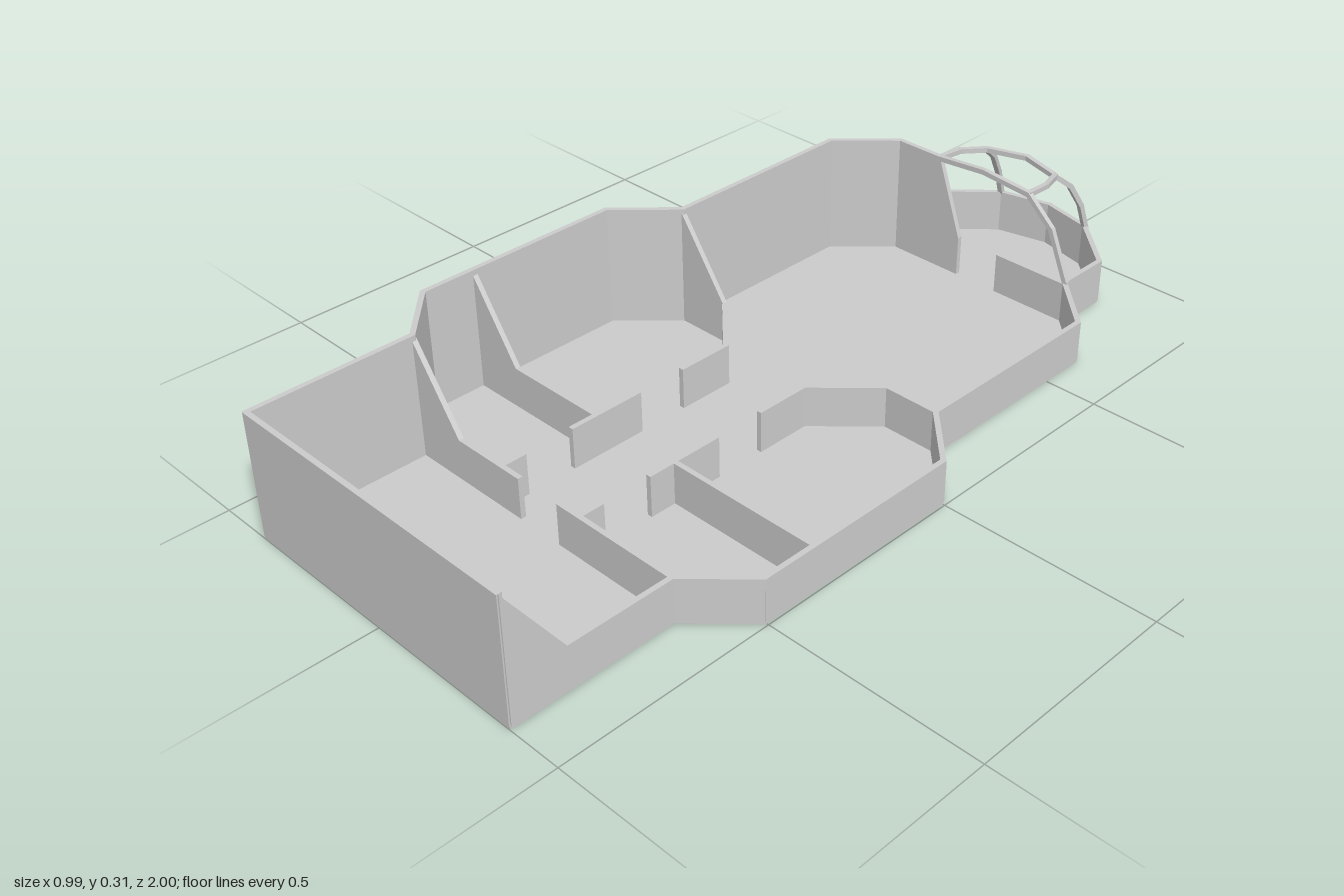
import * as THREE from 'three';

const T = 0.012;      // wall thickness
const BASE = 0.006;   // underside of walls
const LOW = 0.105, HIGH = 0.295;

export function createModel() {
  const model = new THREE.Group();
  const mat = new THREE.MeshStandardMaterial({ color: 0xcccccc, flatShading: true });

  const add = (name, geo) => {
    const mesh = new THREE.Mesh(geo, mat);
    mesh.name = name;
    model.add(mesh);
    return mesh;
  };

  // Upright wall from a to b ([x, z]); tops lists [fraction along wall, height]
  const wall = (name, a, b, tops) => {
    if (!Array.isArray(tops)) tops = [[0, tops], [1, tops]];
    const dx = b[0] - a[0], dz = b[1] - a[1], len = Math.hypot(dx, dz), e = 0.003;
    const at = (f) => -e + f * (len + 2 * e);
    const s = new THREE.Shape();
    s.moveTo(-e, BASE);
    s.lineTo(len + e, BASE);
    [...tops].reverse().forEach(([f, h]) => s.lineTo(at(f), h));
    s.closePath();
    const geo = new THREE.ExtrudeGeometry(s, { depth: T, bevelEnabled: false });
    geo.translate(0, 0, -T / 2);
    const mesh = add(name, geo);
    mesh.position.set(a[0], 0, a[1]);
    mesh.rotation.y = -Math.atan2(dz, dx);
  };

  // Square bars joined end to end through the points
  const frame = (name, points) => {
    const group = new THREE.Group();
    group.name = name;
    const p = points.map((q) => new THREE.Vector3(...q));
    for (let i = 0; i + 1 < p.length; i++) {
      const bar = new THREE.Mesh(new THREE.BoxGeometry(0.012, 0.012, p[i].distanceTo(p[i + 1]) + 0.006), mat);
      bar.position.lerpVectors(p[i], p[i + 1], 0.5);
      bar.lookAt(p[i + 1]);
      group.add(bar);
    }
    model.add(group);
  };

  // Half outline of the hull, front to back, along wall centre lines
  const half = [[0.37, 0.994], [0.37, 0.615], [0.49, 0.5], [0.49, 0], [0.37, -0.12],
    [0.37, -0.605], [0.25, -0.72], [0.25, -0.85], [0.125, -0.965], [0, -0.994]];

  // Floor slab
  const floor = new THREE.Shape();
  const ring = [...half, ...half.slice(0, -1).reverse().map(([x, z]) => [-x, z])];
  floor.setFromPoints(ring.map(([x, z]) => new THREE.Vector2(x * 1.012, -z * 1.005)));
  const floorGeo = new THREE.ExtrudeGeometry(floor, { depth: 0.008, bevelEnabled: false });
  floorGeo.rotateX(-Math.PI / 2);
  add('floor', floorGeo);

  // Outer walls: tall on the right, cut down low on the left, low around the nose
  wall('frontWall', [-0.37, 0.994], [0.37, 0.994], HIGH);
  for (let i = 0; i + 1 < half.length; i++) {
    const [a, b] = [half[i], half[i + 1]];
    const nose = i >= 6;
    wall(nose ? 'noseWall' : 'leftWall', a, b,
      i === 0 ? [[0, HIGH], [0.34, LOW], [1, LOW]] : nose ? 0.112 : LOW);
    wall(nose ? 'noseWall' : 'rightWall', [-a[0], a[1]], [-b[0], b[1]], nose ? 0.112 : HIGH);
  }

  // Inner partitions; on the right they slope down from the tall wall
  for (const s of [1, -1]) {
    const sloped = (f) => (s > 0 ? LOW : [[0, HIGH], [f, LOW], [1, LOW]]);
    wall('frontPartition', [s * 0.37, 0.615], [s * 0.06, 0.615], sloped(0.42));
    wall('middlePartition', [s * 0.49, 0.37], [s * 0.115, 0.37], sloped(0.34));
    wall('roomBackWall', [s * 0.37, -0.12], [s * 0.24, -0.12], sloped(0.98));
    wall('roomDiagonalWall', [s * 0.24, -0.12], [s * 0.115, 0], LOW);
    wall('corridorWall', [s * 0.115, 0], [s * 0.115, 0.13], LOW);
    wall('corridorWall', [s * 0.115, 0.255], [s * 0.115, 0.435], LOW);
    wall('corridorWall', [s * 0.115, 0.56], [s * 0.115, 0.615], LOW);
  }

  // Bulkhead in front of the nose, with a doorway
  wall('bulkheadRight', [-0.25, -0.72], [-0.06, -0.72], [[0, HIGH], [0.65, HIGH], [1, LOW]]);
  wall('bulkheadLeft', [0.06, -0.72], [0.25, -0.72], LOW);

  // Canopy frame
  frame('canopyArch', [[-0.13, 0.289, -0.72], [0, 0.3, -0.72], [0.13, 0.289, -0.72],
    [0.2, 0.225, -0.72], [0.25, 0.11, -0.72]]);
  const rail = [[0.13, 0.289, -0.72], [0.127, 0.284, -0.79], [0.1, 0.272, -0.86]];
  const mirror = ([x, y, z]) => [-x, y, z];
  frame('canopyRail', [...rail, [0, 0.276, -0.885], ...rail.map(mirror).reverse()]);
  const rib = [[0.1, 0.272, -0.86], [0.113, 0.235, -0.905], [0.122, 0.175, -0.942], [0.126, 0.108, -0.965]];
  frame('canopyRibLeft', rib);
  frame('canopyRibRight', rib.map(mirror));

  return model;
}
